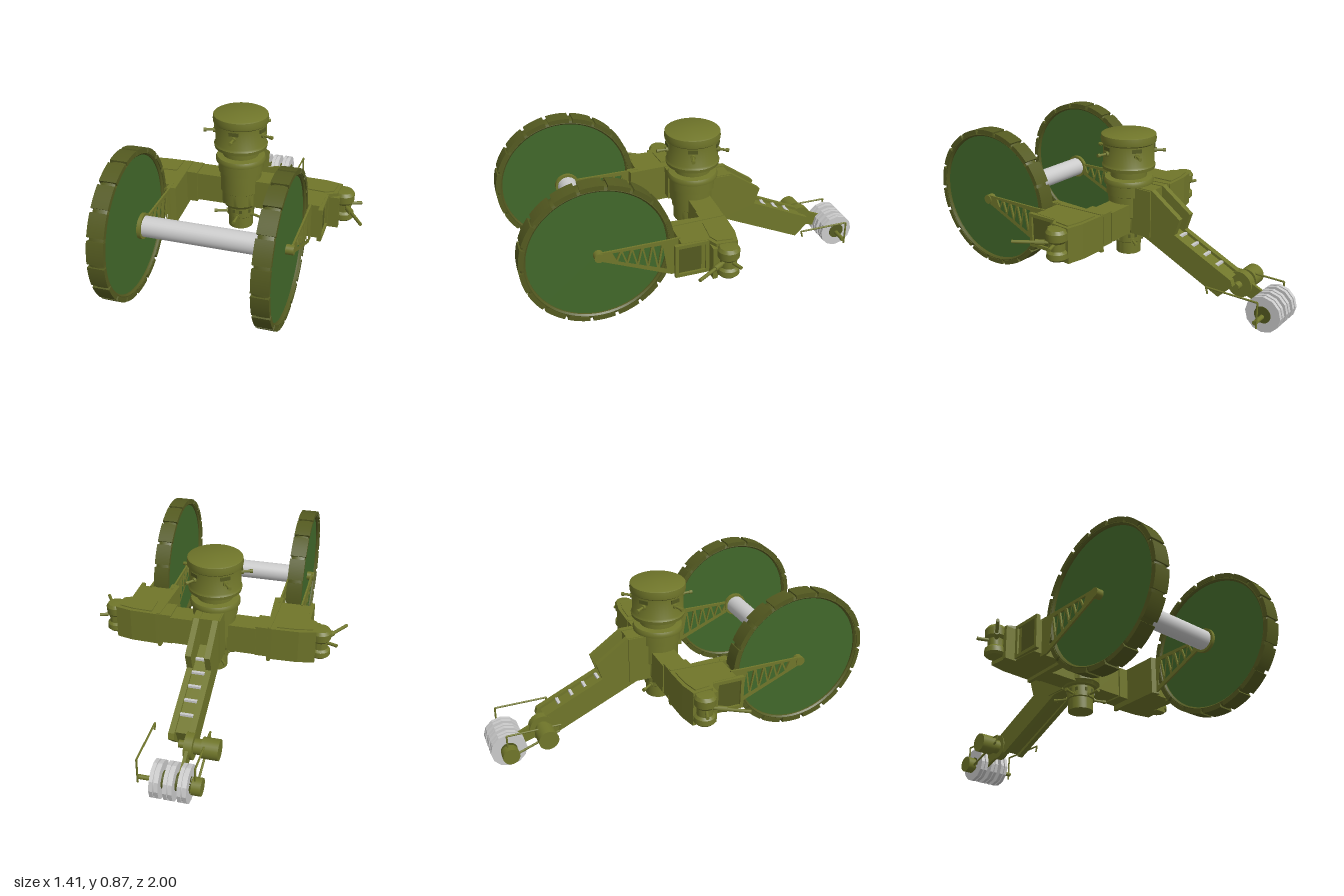
import * as THREE from 'three';
import { toCreasedNormals } from 'three/addons/utils/BufferGeometryUtils.js';

const mat = (color) => new THREE.MeshStandardMaterial({ color, roughness: 0.8 });
const OLIVE = mat(0x70762a), DARK = mat(0x545a20), GREEN = mat(0x41682a), GREY = mat(0xcccccc);
const V = (x, y, z) => new THREE.Vector3(x, y, z);

export function createModel() {
  const root = new THREE.Group();

  const add = (name, geo, material = OLIVE) => {
    const m = new THREE.Mesh(geo, material);
    m.name = name;
    root.add(m);
    return m;
  };
  const shapeOf = (pts) => new THREE.Shape(pts.map((p) => new THREE.Vector2(p[0], p[1])));
  const extrude = (shape, depth) =>
    new THREE.ExtrudeGeometry(shape, { depth, bevelEnabled: false, curveSegments: 8 });
  // box given by its limits on each axis
  const box = (name, x0, x1, y0, y1, z0, z1, m) =>
    add(name, new THREE.BoxGeometry(Math.abs(x1 - x0), y1 - y0, z1 - z0)
      .translate((x0 + x1) / 2, (y0 + y1) / 2, (z0 + z1) / 2), m);
  // (z, y) outline extruded across x
  const slab = (name, shape, x0, x1, m) =>
    add(name, extrude(shape, Math.abs(x1 - x0)).rotateY(-Math.PI / 2).translate(Math.max(x0, x1), 0, 0), m);
  // (x, z) outline extruded upward
  const plan = (name, pts, y0, y1, m) =>
    add(name, extrude(shapeOf(pts), y1 - y0).rotateX(Math.PI / 2).translate(0, y1, 0), m);
  const lathe = (pts, seg) =>
    toCreasedNormals(new THREE.LatheGeometry(pts.map((p) => new THREE.Vector2(p[0], p[1])), seg), 0.6);
  // cylinder lying along x
  const roll = (name, x0, x1, r, y, z, m, seg = 28) =>
    add(name, new THREE.CylinderGeometry(r, r, Math.abs(x1 - x0), seg)
      .rotateZ(Math.PI / 2).translate((x0 + x1) / 2, y, z), m);
  // straight rod between two points
  const rod = (name, a, b, r, m) => {
    const mesh = add(name, new THREE.CylinderGeometry(r, r, a.distanceTo(b), 10), m);
    mesh.position.copy(a).add(b).multiplyScalar(0.5);
    mesh.quaternion.setFromUnitVectors(V(0, 1, 0), b.clone().sub(a).normalize());
  };

  // central tower, stacked drums
  const TZ = -0.02;
  add('tower', lathe([
    [0, 0.195], [0.068, 0.195], [0.068, 0.26], [0.074, 0.265], [0.074, 0.325], [0.09, 0.33], [0.1, 0.345],
    [0.105, 0.35], [0.105, 0.42], [0.112, 0.425], [0.112, 0.535], [0.122, 0.54], [0.122, 0.595],
    [0.135, 0.6], [0.137, 0.615], [0.13, 0.63], [0.098, 0.635], [0.098, 0.68], [0.142, 0.682],
    [0.145, 0.7], [0.138, 0.712], [0.138, 0.82], [0.148, 0.828], [0.15, 0.845], [0.147, 0.868], [0.14, 0.872], [0, 0.872],
  ], 48)).position.z = TZ;

  // five spokes with sockets on the head and on the foot
  for (const [y, r0, r1] of [[0.775, 0.13, 0.2], [0.275, 0.06, 0.148]]) {
    for (let i = 0; i < 5; i++) {
      const a = (i * Math.PI * 2) / 5;
      const at = (r) => V(Math.sin(a) * r, y, TZ + Math.cos(a) * r);
      rod('towerSpoke', at(r0), at(r1), 0.007);
      rod('spokeSocket', at(r0), at(r0 + 0.02), 0.014);
      rod('spokeTip', at(r1 - 0.015), at(r1), 0.01);
      const pad = box('towerPlate', -0.026, 0.026, -0.01, 0.01, -0.005, 0.005, DARK);
      pad.position.copy(at(r0 + 0.008)).setY(y + 0.028);
      pad.rotation.y = a;
    }
  }
  box('footBlock', -0.06, 0.055, 0.135, 0.2, -0.06, 0.02, DARK).visible = false;

  // truss bracket outline with triangular openings
  const truss = shapeOf([[0.2, 0.515], [0.26, 0.512], [0.605, 0.51], [0.625, 0.5], [0.63, 0.485], [0.622, 0.468], [0.605, 0.462], [0.25, 0.305], [0.2, 0.305]]);
  const nodes = Array.from({ length: 12 }, (_, i) => {
    const z = 0.265 + 0.29 * (i / 11);
    return [z, i % 2 ? 0.503 : 0.318 + (z - 0.25) * 0.45];
  });
  for (let i = 0; i + 2 < nodes.length; i++) {
    const tri = nodes.slice(i, i + 3);
    const c = [0, 1].map((k) => (tri[0][k] + tri[1][k] + tri[2][k]) / 3);
    truss.holes.push(new THREE.Path(tri.map((p) =>
      new THREE.Vector2(c[0] + (p[0] - c[0]) * 0.74, c[1] + (p[1] - c[1]) * 0.74))));
  }

  const WY = 0.485, WZ = 0.612;
  for (const s of [1, -1]) {
    const X = (pts) => pts.map(([x, z]) => [x * s, z]);

    // wheel: green disc, rim and raised tread pads
    roll('wheelDisc', s * 0.362, s * 0.412, 0.362, WY, WZ, GREEN, 64);
    add('wheelRim', lathe([
      [0.35, -0.032], [0.358, -0.04], [0.372, -0.036], [0.378, -0.02], [0.378, 0.02], [0.372, 0.036], [0.358, 0.04], [0.35, 0.032], [0.35, -0.032],
    ], 64).rotateZ(Math.PI / 2).translate(s * 0.388, WY, WZ), DARK);
    const PADS = 18;
    for (let i = 0; i < PADS; i++) {
      const a0 = (i / PADS) * Math.PI * 2, a1 = a0 + (Math.PI * 2 / PADS) * 0.86;
      const pad = new THREE.Shape();
      pad.absarc(0, 0, 0.386, a0, a1, false);
      pad.absarc(0, 0, 0.362, a1, a0, true);
      slab('treadPad', pad, s * 0.345, s * 0.431, DARK).position.set(0, WY, WZ);
    }

    // axle flange and outer hub
    roll('axleFlange', s * 0.305, s * 0.324, 0.066, WY, WZ);
    roll('wheelHub', s * 0.41, s * 0.452, 0.025, WY, WZ);

    // truss brackets on both faces of the wheel
    slab('innerTruss', truss, s * 0.31, s * 0.32);
    slab('outerTruss', truss, s * 0.437, s * 0.447);

    // arm from the tower to the housing
    box('armInner', s * 0.08, s * 0.24, 0.338, 0.5, -0.09, 0.035);
    box('armMiddle', s * 0.235, s * 0.305, 0.33, 0.508, -0.083, 0.045);
    plan('forkPlate', X([[0.3, -0.08], [0.318, -0.08], [0.332, 0.25], [0.328, 0.262], [0.282, 0.25], [0.29, 0.1]]), 0.3, 0.512);
    plan('armHousing', X([[0.31, -0.085], [0.325, -0.085], [0.47, -0.08], [0.56, -0.06], [0.55, 0.05], [0.5, 0.075], [0.492, 0.21], [0.325, 0.21]]), 0.318, 0.508);
    plan('housingLid', X([[0.35, -0.065], [0.46, -0.06], [0.54, -0.042], [0.53, 0.04], [0.485, 0.06], [0.35, 0.05]]), 0.508, 0.514);

    // framed side panel
    box('panelBack', s * 0.488, s * 0.498, 0.33, 0.495, 0.08, 0.235, DARK);
    for (const y of [0.322, 0.488]) box('panelFrame', s * 0.488, s * 0.51, y, y + 0.018, 0.07, 0.248);
    for (const z of [0.07, 0.23]) box('panelFrame', s * 0.488, s * 0.51, 0.322, 0.506, z, z + 0.018);
    box('frontPanel', s * 0.5, s * 0.565, 0.312, 0.49, 0.045, 0.07);

    // end knob with two handle rods
    add('endKnob', lathe([
      [0, 0.338], [0.045, 0.338], [0.057, 0.35], [0.055, 0.378], [0.042, 0.39], [0.042, 0.43], [0.055, 0.445], [0.057, 0.485], [0.046, 0.502], [0, 0.506],
    ], 28)).position.set(s * 0.578, 0, -0.005);
    rod('knobHandle', V(s * 0.58, 0.425, 0), V(s * 0.7, 0.425, 0.19), 0.009);
    rod('knobHandle', V(s * 0.58, 0.425, 0), V(s * 0.672, 0.425, -0.035), 0.009);
    rod('handleGrip', V(s * 0.61, 0.425, 0.05), V(s * 0.635, 0.425, 0.09), 0.015);

    // trail side rail
    slab('trailRail', shapeOf([[-0.08, 0.33], [-0.08, 0.6], [-0.22, 0.6], [-0.395, 0.475], [-0.365, 0.385], [-0.71, 0.222], [-0.72, 0.19], [-0.64, 0.11], [-0.17, 0.33]]),
      s * 0.035, s * 0.066);
  }
  roll('axle', -0.31, 0.31, 0.053, WY, WZ, GREY, 32);

  // trail floor, rungs and collar
  slab('trailFloor', shapeOf([[-0.08, 0.34], [-0.08, 0.5], [-0.69, 0.216], [-0.65, 0.125], [-0.17, 0.34]]), -0.04, 0.04);
  for (let i = 0; i < 5; i++) {
    const z = -0.3 - i * 0.075;
    box('trailRung', -0.036, 0.036, -0.006, 0.006, -0.008, 0.008, GREY).position.set(0, 0.5 + (z + 0.08) * 0.465 + 0.004, z);
  }
  box('trailCollar', -0.074, 0.074, 0.335, 0.596, -0.215, -0.09);

  // pivot drum at the trail end
  const PY = 0.165, PZ = -0.71;
  roll('pivotDrum', -0.198, -0.11, 0.054, PY, PZ);
  roll('pivotNeck', -0.11, -0.07, 0.04, PY, PZ);
  roll('pivotFlange', -0.07, -0.027, 0.07, PY, PZ);
  roll('pivotPin', -0.03, 0.012, 0.02, PY, PZ);

  // rear roller: three faceted rollers on a hub
  const RY = 0.097, RZ = -0.905;
  slab('rollerLink', shapeOf([[-0.68, 0.2], [-0.73, 0.205], [-0.92, 0.12], [-0.935, 0.08], [-0.9, 0.06], [-0.68, 0.13]]), -0.055, -0.038);
  roll('rollerHub', -0.105, 0.083, 0.045, RY, RZ, DARK);
  for (const x of [-0.082, -0.012, 0.057]) {
    const g = new THREE.CylinderGeometry(0.097, 0.097, 0.019, 12).toNonIndexed();
    g.computeVertexNormals();
    for (const d of [-0.0135, 0.0135]) add('rollerHalf', g.clone().rotateZ(Math.PI / 2).translate(x + d, RY, RZ), GREY);
    roll('rollerCore', x - 0.006, x + 0.006, 0.088, RY, RZ, GREY, 12);
  }
  roll('rollerMotor', -0.16, -0.112, 0.045, RY - 0.008, RZ);
  roll('rollerAxle', -0.13, 0.165, 0.012, RY - 0.01, RZ);

  // bent guard bars on both sides of the roller
  for (const x of [-0.127, 0.163]) {
    const p = [V(x, 0.165, -0.635), V(x, 0.2, -0.625), V(x, 0.2, -0.915), V(x, 0.06, -0.915)];
    for (let i = 0; i < 3; i++) rod('guardBar', p[i], p[i + 1], 0.005);
  }
  rod('linkBar', V(-0.127, 0.165, -0.635), V(-0.127, 0.07, -0.89), 0.006);

  root.remove(...root.children.filter((c) => !c.visible));
  return root;
}
